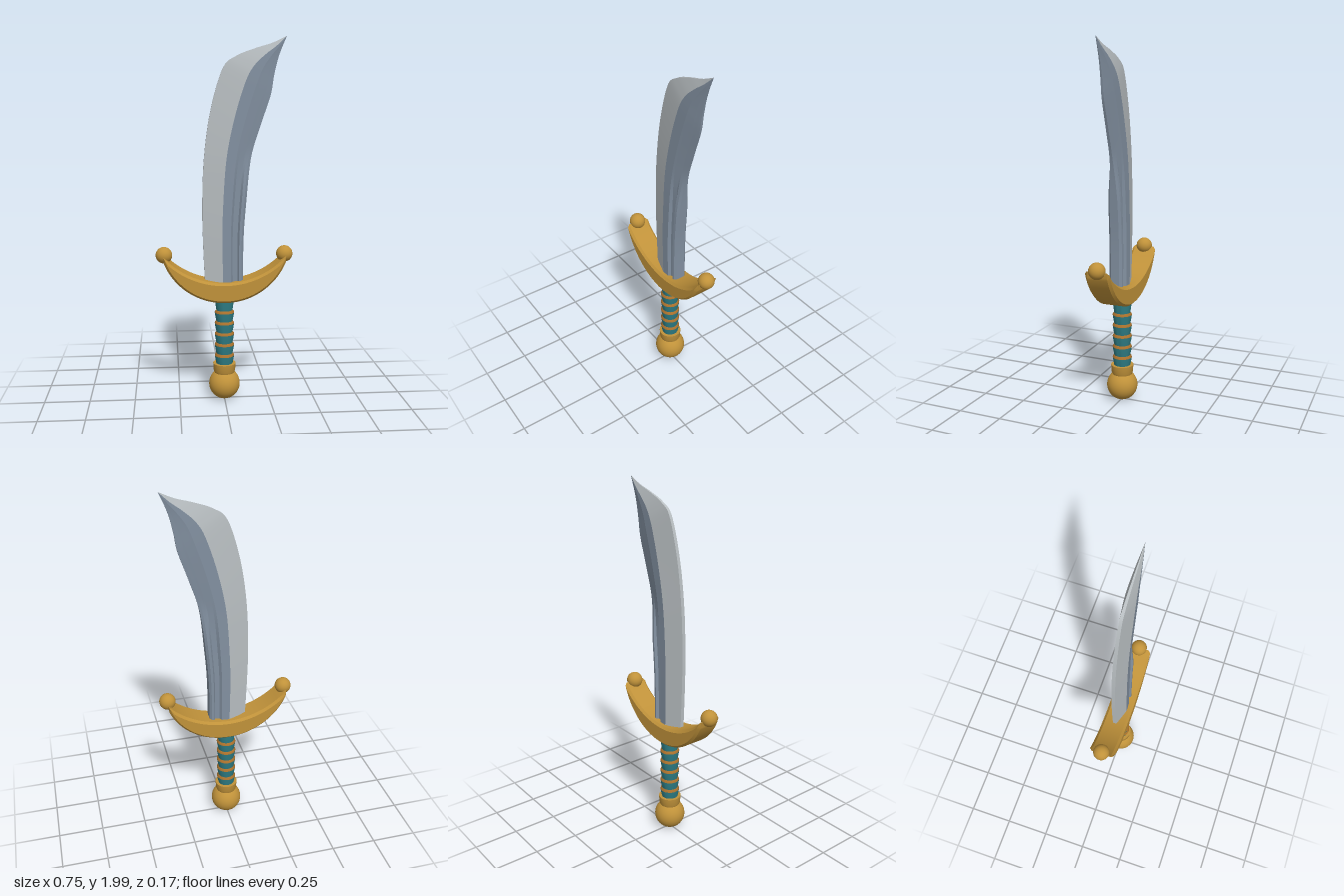
import * as THREE from 'three';
import { mergeGeometries, toCreasedNormals } from 'three/addons/utils/BufferGeometryUtils.js';

const mat = (name, color) => {
  const m = new THREE.MeshStandardMaterial({ color });
  m.name = name;
  return m;
};

// Smooth curve through 2D points
const curve = (pts) => new THREE.CatmullRomCurve3(pts.map(([x, y]) => new THREE.Vector3(x, y, 0)), false, 'catmullrom', 0.5);

// Blade outline: cutting edge and back, paired station by station up to the tip
const edgeLine = curve([[-0.105, 0.62], [-0.117, 0.9], [-0.12, 1.1], [-0.11, 1.35], [-0.075, 1.6],
  [-0.01, 1.82], [0.06, 1.885], [0.16, 1.925], [0.25, 1.953], [0.33, 1.99]]);
const backLine = curve([[0.1, 0.62], [0.102, 0.9], [0.115, 1.1], [0.142, 1.35], [0.195, 1.53],
  [0.245, 1.68], [0.262, 1.78], [0.28, 1.86], [0.3, 1.92], [0.33, 1.99]]);
const thickness = curve([0.04, 0.04, 0.039, 0.038, 0.035, 0.031, 0.026, 0.018, 0.01, 0].map((h, i) => [i, h]));

// Half section: position across the blade, thickness near the guard (with groove), thickness near the tip
const section = [[0, 0.26, 0.26], [0.47, 1, 1], [0.68, 0.97, 0.88], [0.73, 0.6, 0.77], [0.85, 0.6, 0.52],
  [0.89, 0.95, 0.43], [0.95, 0.9, 0.31], [1, 0.6, 0.2]];

function bladePoint(j, side, t) {
  const [u, low, high] = section[j];
  const p = edgeLine.getPoint(t).lerp(backLine.getPoint(t), u);
  const k = THREE.MathUtils.smoothstep(p.y, 1.12, 1.42);
  p.z = side * Math.max(0, thickness.getPoint(t).y) * THREE.MathUtils.lerp(low, high, k);
  return p;
}

// One lengthwise facet of the blade between two section corners
function bladeStrip(a, b, rows = 60) {
  const pos = [], idx = [];
  for (let i = 0; i <= rows; i++) {
    for (const [j, side] of [a, b]) pos.push(...bladePoint(j, side, i / rows).toArray());
    if (i < rows) {
      const n = i * 2;
      idx.push(n, n + 1, n + 3, n, n + 3, n + 2);
    }
  }
  const g = new THREE.BufferGeometry();
  g.setAttribute('position', new THREE.Float32BufferAttribute(pos, 3));
  g.setIndex(idx);
  g.computeVertexNormals();
  return g;
}

export function createModel() {
  const group = new THREE.Group();
  const gold = mat('gold', 0xc0923a);
  const bronze = mat('bronze', 0xa8702c);
  const teal = mat('teal', 0x2f8088);
  const steel = mat('steel', 0x8290a0);
  const edgeSteel = mat('polished edge', 0xb8bec1);

  const add = (name, geo, material, x = 0, y = 0, z = 0) => {
    const m = new THREE.Mesh(geo, material);
    m.name = name;
    m.position.set(x, y, z);
    group.add(m);
    return m;
  };
  const lathe = (pts) => toCreasedNormals(
    new THREE.LatheGeometry(pts.map(([r, y]) => new THREE.Vector2(r, y)), 32), 0.5);

  // Blade: pale bevel along the cutting edge, darker body with a groove
  const last = section.length - 1;
  const body = [bladeStrip([last, 1], [last, -1])];
  for (let j = 1; j < last; j++) {
    body.push(bladeStrip([j, 1], [j + 1, 1]), bladeStrip([j + 1, -1], [j, -1]));
  }
  add('bladeBody', mergeGeometries(body), steel);
  add('bladeEdge', mergeGeometries([
    bladeStrip([0, 1], [1, 1]), bladeStrip([1, -1], [0, -1]), bladeStrip([0, -1], [0, 1]),
  ]), edgeSteel);

  // Crescent guard
  const crescent = new THREE.Shape();
  const outer = 0.3456, inner = 0.8347;
  crescent.absarc(0, 0.922, 0.345, -Math.PI + outer, -outer, false);
  crescent.absarc(0, 1.122, 0.459, -inner, -Math.PI + inner, true);
  crescent.closePath();
  const guard = new THREE.ExtrudeGeometry(crescent, {
    depth: 0.114, bevelEnabled: true, bevelThickness: 0.013, bevelSize: 0.012, bevelSegments: 1, curveSegments: 28,
  });
  guard.translate(0, 0, -0.057);
  add('guard', toCreasedNormals(guard, 0.5), gold);

  // Balls on the guard tips
  for (const s of [-1, 1]) {
    add(s > 0 ? 'leftGuardBall' : 'rightGuardBall', new THREE.SphereGeometry(0.045, 28, 18), gold, s * 0.33, 0.825);
  }

  // Grip: flared wraps, each topped by a thin sloping band
  const bands = [0.195, 0.257, 0.319, 0.381, 0.443, 0.505, 0.59];
  for (let i = 0; i < bands.length - 1; i++) {
    const y0 = bands[i] + 0.008, y1 = bands[i + 1] - 0.006;
    add('gripWrap', lathe([[0.045, y0], [0.05, y0 + (y1 - y0) * 0.5], [0.054, y1]]), teal);
    add('gripBand', lathe([[0.054, y1], [0.052, y1 + 0.006], [0.045, y1 + 0.014]]), bronze);
  }

  // Collar and pommel
  add('collar', lathe([[0, 0.15], [0.054, 0.15], [0.06, 0.165], [0.063, 0.207], [0.044, 0.207], [0, 0.207]]), gold);
  add('pommel', new THREE.SphereGeometry(0.086, 36, 24), gold, 0, 0.088);

  return group;
}
